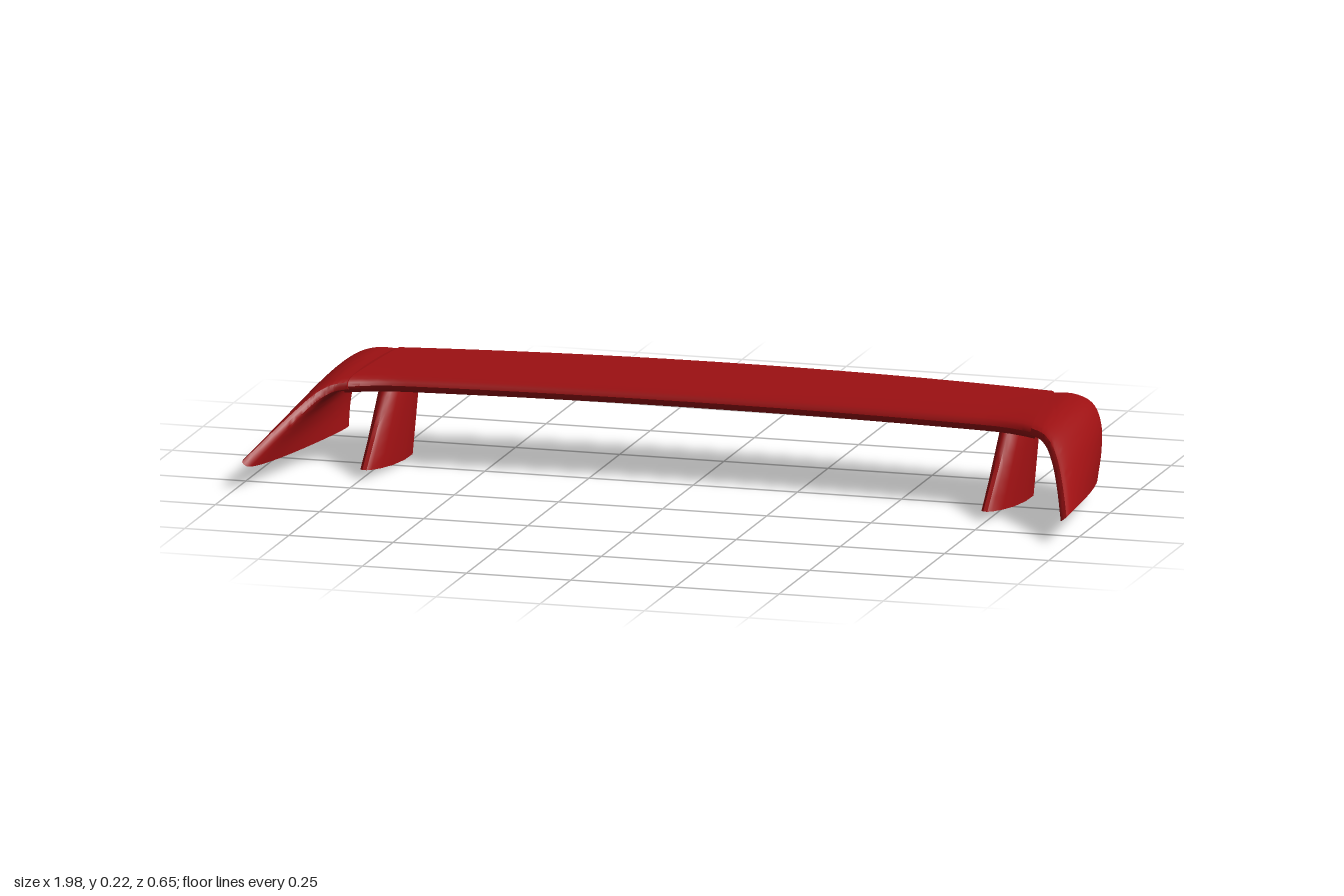
import * as THREE from 'three';
import { toCreasedNormals } from 'three/addons/utils/BufferGeometryUtils.js';

const paint = new THREE.MeshStandardMaterial({ color: 0x9c1012 });
const lerp = THREE.MathUtils.lerp;
const V = (p) => new THREE.Vector3(...p);

// Skin a list of closed rings, cap both ends and make the faces point outwards.
function loft(name, rings, crease = 0.7) {
  const n = rings[0].length, pos = [], idx = [];
  rings.forEach((r) => r.forEach((p) => pos.push(p.x, p.y, p.z)));
  for (let i = 0; i < rings.length - 1; i++) {
    for (let j = 0; j < n; j++) {
      const a = i * n + j, b = i * n + (j + 1) % n;
      idx.push(a, b, a + n, b, b + n, a + n);
    }
  }
  [0, rings.length - 1].forEach((k) => {
    const c = rings[k].reduce((s, p) => s.add(p), new THREE.Vector3()).divideScalar(n);
    const ci = pos.length / 3;
    pos.push(c.x, c.y, c.z);
    for (let j = 0; j < n; j++) {
      const a = k * n + j, b = k * n + (j + 1) % n;
      if (k === 0) idx.push(ci, b, a); else idx.push(ci, a, b);
    }
  });
  // A negative enclosed volume means the winding is inside out.
  const at = (i) => new THREE.Vector3().fromArray(pos, i * 3);
  let volume = 0;
  for (let i = 0; i < idx.length; i += 3) volume += at(idx[i]).dot(at(idx[i + 1]).cross(at(idx[i + 2])));
  if (volume < 0) idx.reverse();
  const g = new THREE.BufferGeometry();
  g.setAttribute('position', new THREE.Float32BufferAttribute(pos, 3));
  g.setIndex(idx);
  const mesh = new THREE.Mesh(toCreasedNormals(g, crease), paint);
  mesh.name = name;
  return mesh;
}

// Main blade: an aerofoil section swept along a shallow bow, flaring at the ends.
function wing() {
  // chord fraction (front to back), height
  const section = [[0, 0.186], [0.015, 0.194], [0.05, 0.2], [0.13, 0.205], [0.4, 0.209], [0.7, 0.212], [1, 0.214],
    [0.975, 0.2], [0.94, 0.191], [0.86, 0.185], [0.6, 0.178], [0.3, 0.17], [0.12, 0.166], [0.04, 0.17], [0.01, 0.178]];
  const rings = [];
  const steps = 48;
  for (let i = 0; i <= steps; i++) {
    const t = (i / steps) * 2 - 1, u = Math.abs(t);
    const front = -0.042 + 0.047 * u * u + 0.033 * Math.max(0, (u - 0.85) / 0.15) ** 2;
    const back = -0.333 + 0.063 * u * u;
    rings.push(section.map(([s, y]) => V([t * lerp(0.83, 0.785, s), y, lerp(front, back, s)])));
  }
  return loft('wing', rings);
}

// End plate: arches outwards from the blade and sweeps down to a long forward point.
function endPlate(side, name) {
  const front = new THREE.CatmullRomCurve3([
    [0.82, 0.188, 0.035], [0.85, 0.184, 0.055], [0.878, 0.17, 0.085],
    [0.908, 0.142, 0.135], [0.943, 0.104, 0.215], [0.984, 0.056, 0.322]].map(V));
  const back = new THREE.CatmullRomCurve3([
    [0.785, 0.201, -0.276], [0.835, 0.199, -0.279], [0.872, 0.184, -0.273],
    [0.893, 0.15, -0.253], [0.899, 0.1, -0.228], [0.895, 0.039, -0.198]].map(V));
  const rings = [], steps = 30, around = 36;
  for (let i = 0; i <= steps; i++) {
    const t = i / steps;
    const f = front.getPoint(t), b = back.getPoint(t);
    const tf = front.getTangent(t), tb = back.getTangent(t);
    const ring = [];
    for (let j = 0; j < around; j++) {
      const a = (j / around) * Math.PI * 2;
      const s = (1 - Math.cos(a)) / 2;
      const p = f.clone().lerp(b, s);
      const normal = new THREE.Vector3(-lerp(tf.y, tb.y, s), lerp(tf.x, tb.x, s), 0).normalize();
      const half = lerp(0.021, lerp(0.02, 0.032, t), s);
      p.addScaledVector(normal, half * Math.sign(Math.sin(a)) * Math.abs(Math.sin(a)) ** 0.55);
      p.x *= side;
      ring.push(p);
    }
    rings.push(ring);
  }
  return loft(name, rings);
}

// Mounting foot: a teardrop column, pointed at the front and raked back.
function strut(side, name) {
  // chord fraction (front to back), half width
  const plan = [[0, 0.005], [0.04, 0.013], [0.2, 0.024], [0.4, 0.033], [0.65, 0.038],
    [0.88, 0.037], [0.96, 0.03], [1, 0.014]];
  const outline = [...plan, ...plan.map(([s, w]) => [s, -w]).reverse()];
  const rings = [];
  for (let i = 0; i <= 6; i++) {
    const t = i / 6;
    rings.push(outline.map(([s, w]) => V([
      side * (0.745 + w),
      lerp(0.02 * (1 - s) ** 2, 0.185, t),
      lerp(lerp(0.15, -0.155, s), lerp(-0.035, -0.2, s), t)])));
  }
  return loft(name, rings);
}

export function createModel() {
  const model = new THREE.Group();
  model.name = 'rearSpoiler';
  model.add(wing());
  for (const [side, label] of [[1, 'left'], [-1, 'right']]) {
    model.add(endPlate(side, label + 'EndPlate'), strut(side, label + 'Strut'));
  }
  return model;
}
